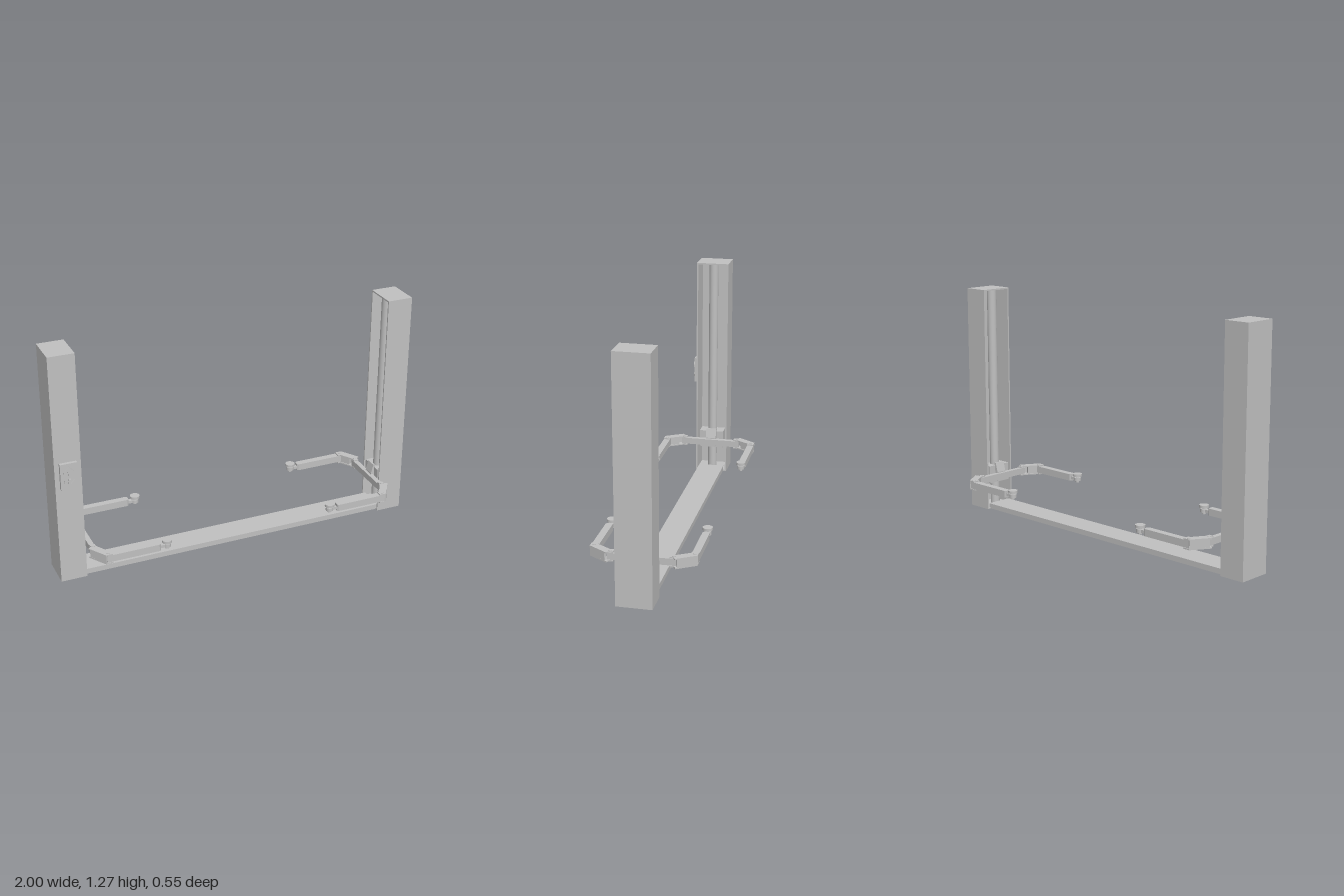
import * as THREE from 'three';

const steel = new THREE.MeshStandardMaterial({ color: 0xc0c0c0 });
steel.name = 'steelGrey';

function add(parent, name, geometry, x = 0, y = 0, z = 0) {
  const mesh = new THREE.Mesh(geometry, steel);
  mesh.name = name;
  mesh.position.set(x, y, z);
  parent.add(mesh);
  return mesh;
}

// Box given by its lower and upper limits on each axis
function block(parent, name, [x0, x1], [y0, y1], [z0, z1]) {
  return add(parent, name, new THREE.BoxGeometry(x1 - x0, y1 - y0, z1 - z0),
    (x0 + x1) / 2, (y0 + y1) / 2, (z0 + z1) / 2);
}

function rod(parent, name, radius, y0, y1, x, z, sides = 24) {
  return add(parent, name, new THREE.CylinderGeometry(radius, radius, y1 - y0, sides), x, (y0 + y1) / 2, z);
}

// Horizontal plate from an outline of [x, z] points; s mirrors it in z
function plate(parent, name, points, y0, y1, s) {
  const shape = new THREE.Shape(points.map(([x, z]) => new THREE.Vector2(x, z * s)));
  const g = new THREE.ExtrudeGeometry(shape, { depth: y1 - y0, bevelEnabled: false });
  g.rotateX(Math.PI / 2);
  return add(parent, name, g, 0, y1, 0);
}

function createPost() {
  const post = new THREE.Group();
  post.name = 'post';
  const X = [-1, -0.86], H = 1.27, D = 0.092, t = 0.008;
  // Channel open towards the middle, closed above and below
  block(post, 'outerWall', [-1, -1 + t], [0, H], [-D, D]);
  block(post, 'frontWall', X, [0, H], [D - t, D]);
  block(post, 'backWall', X, [0, H], [-D, -D + t]);
  block(post, 'topCap', X, [H - t, H], [-D, D]);
  block(post, 'footPlate', X, [0, t], [-D, D]);
  rod(post, 'liftColumn', 0.026, t, H - t, -0.9, 0, 32);
  return post;
}

function createArm(s) {
  const arm = new THREE.Group();
  arm.name = 'swingArm';
  const elbow = [[-0.853, 0.14], [-0.826, 0.14], [-0.826, 0.163], [-0.783, 0.233],
    [-0.77, 0.233], [-0.77, 0.27], [-0.808, 0.27], [-0.87, 0.172], [-0.853, 0.16]];
  plate(arm, 'elbowTopPlate', elbow, 0.209, 0.216, s);
  plate(arm, 'elbowBottomPlate', elbow, 0.162, 0.169, s);
  // Outer web joining the two plates
  plate(arm, 'elbowWeb', [[-0.864, 0.181], [-0.808, 0.27], [-0.8, 0.265], [-0.856, 0.176]], 0.165, 0.212, s);
  plate(arm, 'elbowSpacer', [[-0.84, 0.2], [-0.808, 0.252], [-0.786, 0.238], [-0.818, 0.186]], 0.169, 0.209, s);
  rod(arm, 'innerPin', 0.009, 0.16, 0.218, -0.84, s * 0.16, 12);
  rod(arm, 'outerPin', 0.009, 0.16, 0.218, -0.79, s * 0.252, 12);
  // Beam with clipped corners at its free end
  plate(arm, 'armBeam', [[-0.8, 0.233], [-0.518, 0.233], [-0.51, 0.239], [-0.51, 0.264],
    [-0.518, 0.27], [-0.8, 0.27]], 0.171, 0.209, s);
  const zc = s * 0.25;
  block(arm, 'padLink', [-0.515, -0.475], [0.18, 0.196], [zc - 0.011, zc + 0.011]);
  rod(arm, 'padSocket', 0.02, 0.178, 0.197, -0.47, zc);
  rod(arm, 'padStem', 0.01, 0.168, 0.206, -0.47, zc);
  rod(arm, 'liftPad', 0.026, 0.204, 0.218, -0.47, zc, 32);
  return arm;
}

function createCarriage() {
  const carriage = new THREE.Group();
  carriage.name = 'carriage';
  block(carriage, 'carriageBack', [-0.935, -0.862], [0.15, 0.25], [-0.07, 0.07]);
  block(carriage, 'crossbar', [-0.853, -0.826], [0.171, 0.207], [-0.172, 0.172]);
  // Tapered bracket between carriage and crossbar
  const profile = new THREE.Shape([[-0.866, 0.16], [-0.842, 0.16], [-0.842, 0.212], [-0.856, 0.265], [-0.866, 0.265]]
    .map(([x, y]) => new THREE.Vector2(x, y)));
  add(carriage, 'bracket', new THREE.ExtrudeGeometry(profile, { depth: 0.06, bevelEnabled: false }), 0, 0, -0.03);
  return carriage;
}

function createControlBox() {
  const box = new THREE.Group();
  box.name = 'controlBox';
  block(box, 'controlCase', [-0.975, -0.885], [0.545, 0.69], [0.09, 0.11]);
  // Raised up and down arrows
  for (const [name, y, dir] of [['upArrow', 0.65, 1], ['downArrow', 0.58, -1]]) {
    const pts = [[0, 0.025], [0.027, -0.005], [0.027, -0.02], [0.006, 0.002], [0.006, -0.025],
      [-0.006, -0.025], [-0.006, 0.002], [-0.027, -0.02], [-0.027, -0.005]];
    const shape = new THREE.Shape(pts.map(([px, py]) => new THREE.Vector2(px, py * dir)));
    add(box, name, new THREE.ExtrudeGeometry(shape, { depth: 0.008, bevelEnabled: false }), -0.93, y, 0.11);
  }
  return box;
}

export function createModel() {
  const model = new THREE.Group();
  model.name = 'twoPostLift';
  block(model, 'floorBeam', [-0.87, 0.87], [0.001, 0.03], [-0.073, 0.073]);
  // Each side is the other turned half round
  for (const [name, turn] of [['rightSide', 0], ['leftSide', Math.PI]]) {
    const side = new THREE.Group();
    side.name = name;
    side.rotation.y = turn;
    side.add(createPost(), createCarriage(), createArm(1), createArm(-1));
    model.add(side);
  }
  model.add(createControlBox());
  return model;
}
